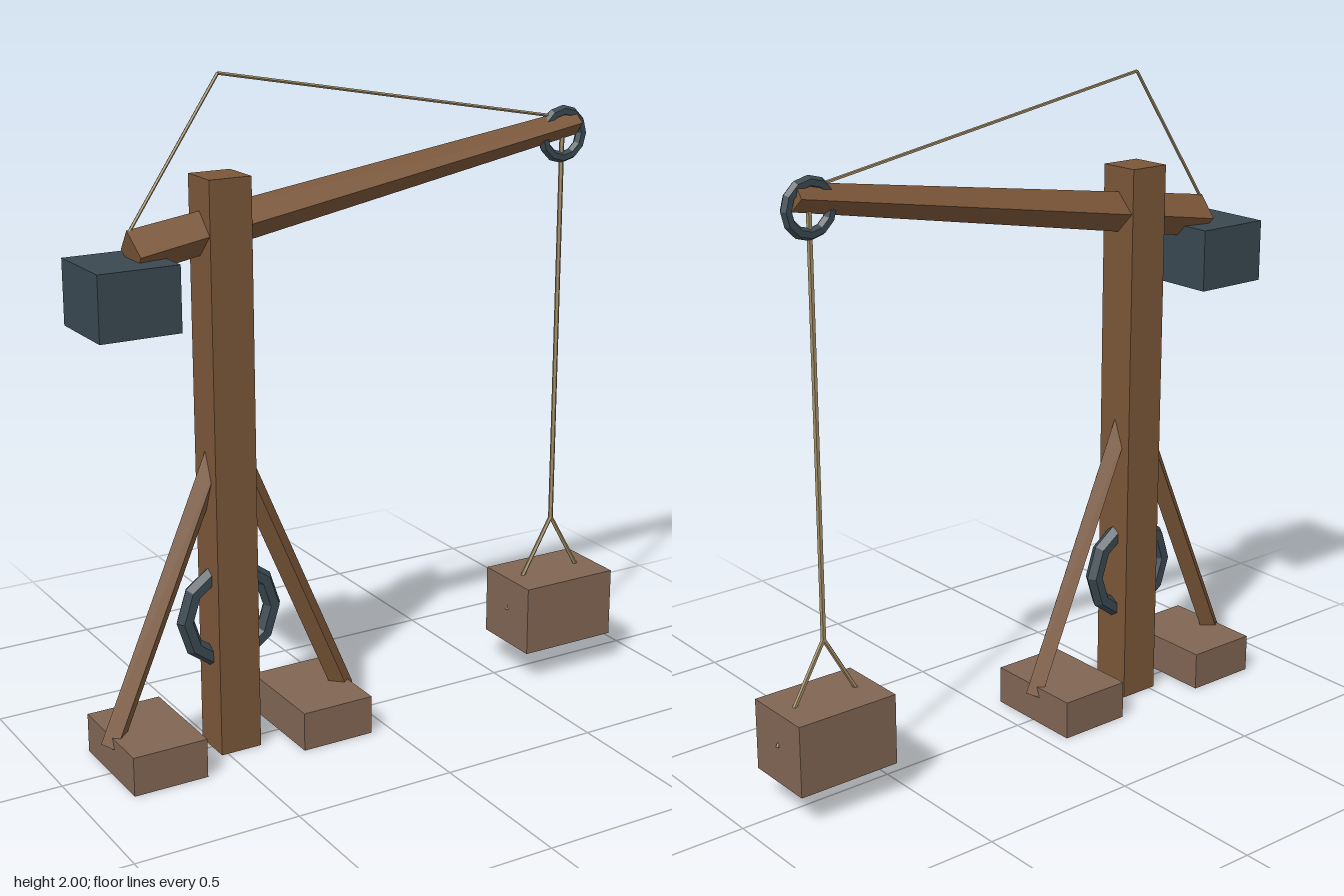
import * as THREE from 'three';

const material = (color) => new THREE.MeshStandardMaterial({ color, flatShading: true });

export function createModel() {
  const crane = new THREE.Group();
  crane.name = 'crane';
  const wood = material(0x7a5638);
  const crateWood = material(0x806553);
  const iron = material(0x3a4850);
  const hemp = material(0xa08c66);

  const add = (name, geometry, mat, x, y, z = 0) => {
    const mesh = new THREE.Mesh(geometry, mat);
    mesh.name = name;
    mesh.position.set(x, y, z);
    crane.add(mesh);
    return mesh;
  };
  const box = (name, mat, w, h, d, x, y) =>
    add(name, new THREE.BoxGeometry(w, h, d), mat, x, y);

  // Straight bar between two points in the x-y plane
  const bar = (name, mat, a, b, ra, rb, sides) => {
    const from = new THREE.Vector3(a[0], a[1], 0);
    const to = new THREE.Vector3(b[0], b[1], 0);
    const dir = to.clone().sub(from);
    const mid = from.clone().add(to).multiplyScalar(0.5);
    const mesh = add(name, new THREE.CylinderGeometry(rb, ra, dir.length(), sides), mat, mid.x, mid.y);
    mesh.quaternion.setFromUnitVectors(new THREE.Vector3(0, 1, 0), dir.normalize());
    return mesh;
  };

  // Mast with mirrored feet and diagonal braces
  const mastX = -0.455;
  box('mast', wood, 0.13, 1.72, 0.13, mastX, 0.86);
  for (const s of [-1, 1]) {
    const side = s < 0 ? 'right' : 'left';
    box(side + 'Foot', crateWood, 0.232, 0.12, 0.328, mastX + s * 0.276, 0.06);
    bar(side + 'Brace', wood, [mastX + s * 0.388, 0.086], [mastX + s * 0.01, 0.971], 0.035, 0.035, 4);
  }

  // Tapered diamond-section boom and its counterweight
  bar('boom', wood, [-0.728, 1.528], [0.756, 1.774], 0.066, 0.04, 4);
  box('counterweight', iron, 0.243, 0.19, 0.243, -0.759, 1.416);

  // Iron rings: winch wheel through the mast, pulley at the boom tip
  add('winchWheel', new THREE.TorusGeometry(0.142, 0.028, 6, 10), iron, mastX, 0.42);
  add('pulley', new THREE.TorusGeometry(0.071, 0.0175, 6, 12), iron, 0.709, 1.739);

  // Stay rope over the mast
  const peak = [mastX, 1.997];
  bar('rearStay', hemp, [-0.73, 1.59], peak, 0.005, 0.005, 5);
  bar('frontStay', hemp, peak, [0.71, 1.79], 0.005, 0.005, 5);

  // Hoist rope, slings and crate
  const hook = [0.709, 0.5];
  bar('hoistRope', hemp, [0.709, 1.74], hook, 0.008, 0.008, 5);
  for (const s of [-1, 1]) {
    bar(s < 0 ? 'rightSling' : 'leftSling', hemp, hook, [0.709 + s * 0.165, 0.213], 0.007, 0.007, 5);
  }
  box('crate', crateWood, 0.328, 0.22, 0.23, 0.709, 0.21);

  return crane;
}
